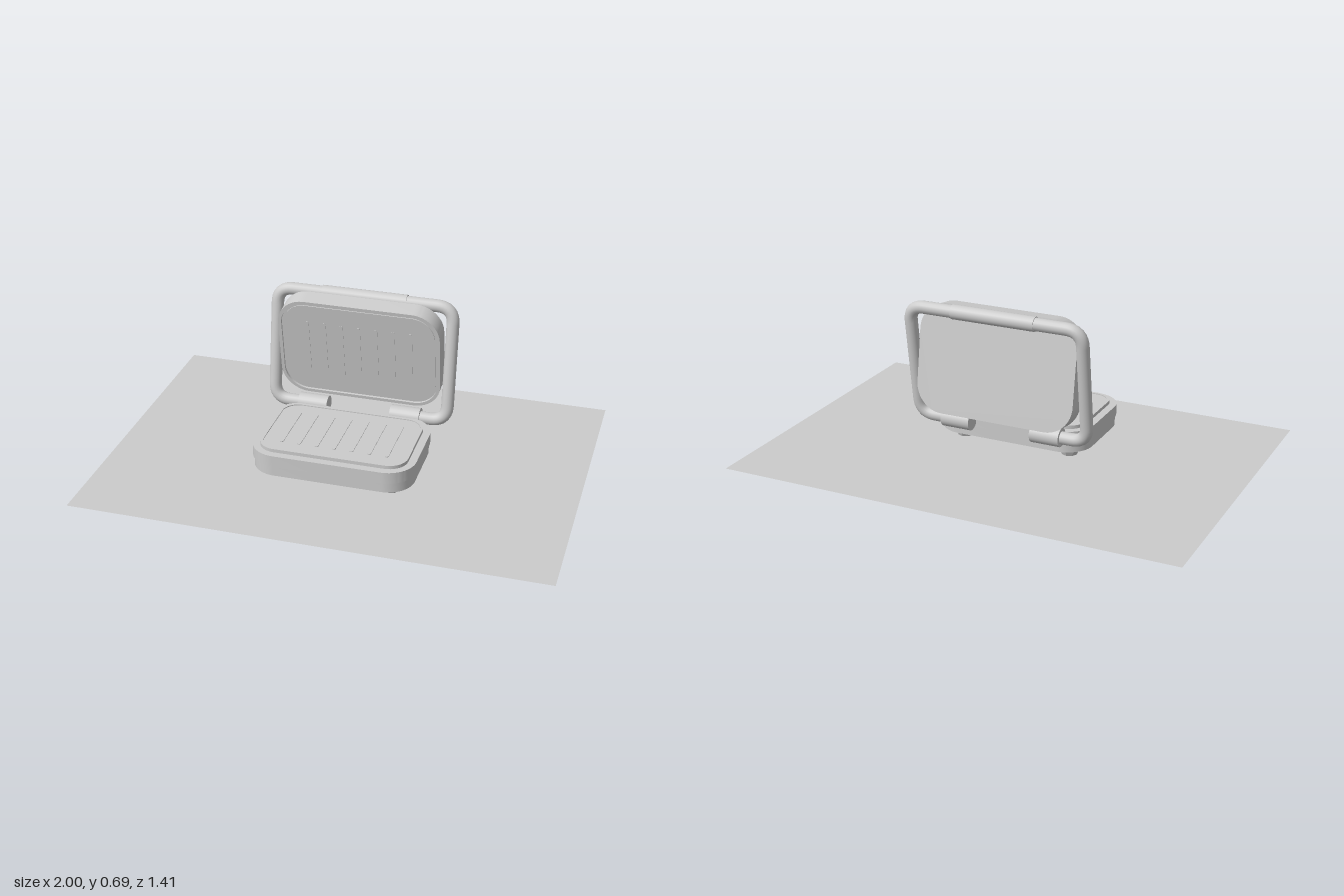
import * as THREE from 'three';
import { toCreasedNormals } from 'three/addons/utils/BufferGeometryUtils.js';

const grey = new THREE.MeshStandardMaterial({ color: 0xcccccc });
const ribXs = [-0.225, -0.15, -0.075, 0, 0.075, 0.15, 0.225];

function add(parent, name, geometry, x = 0, y = 0, z = 0, material = grey) {
  const mesh = new THREE.Mesh(geometry, material);
  mesh.name = name;
  mesh.position.set(x, y, z);
  parent.add(mesh);
  return mesh;
}

// Rounded rectangle centred on the origin
function outline(w, h, r, T = THREE.Shape) {
  const s = new T(), x = w / 2, y = h / 2;
  s.moveTo(-x + r, -y);
  s.lineTo(x - r, -y).absarc(x - r, -y + r, r, -Math.PI / 2, 0);
  s.lineTo(x, y - r).absarc(x - r, y - r, r, 0, Math.PI / 2);
  s.lineTo(-x + r, y).absarc(-x + r, y - r, r, Math.PI / 2, Math.PI);
  s.lineTo(-x, -y + r).absarc(-x + r, -y + r, r, Math.PI, Math.PI * 1.5);
  return s;
}

// Rounded slab from z = 0 to z = depth; a rim width makes it a hollow ring
function slab(w, h, r, depth, rim = 0) {
  const s = outline(w, h, r);
  if (rim) s.holes.push(outline(w - 2 * rim, h - 2 * rim, r - rim, THREE.Path));
  const g = new THREE.ExtrudeGeometry(s, { depth, bevelEnabled: false, curveSegments: 10 });
  return toCreasedNormals(g, 0.6);
}

const lying = g => g.rotateX(-Math.PI / 2);

function makeBase() {
  const base = new THREE.Group();
  base.name = 'base';
  base.position.z = 0.13;
  add(base, 'lowerShell', lying(slab(0.685, 0.458, 0.115, 0.045)), 0, 0.07);
  add(base, 'upperShell', lying(slab(0.696, 0.47, 0.12, 0.05)), 0, 0.115);
  add(base, 'lowerPlate', lying(slab(0.61, 0.385, 0.07, 0.012)), 0, 0.164);
  add(base, 'lowerPlateRim', lying(slab(0.63, 0.405, 0.08, 0.015, 0.012)), 0, 0.165);
  for (const x of ribXs) {
    add(base, 'lowerRib', lying(slab(0.016, 0.262, 0.0079, 0.004)), x, 0.175);
  }
  // Tapered feet
  for (const x of [-0.245, 0.245]) for (const z of [-0.126, 0.126]) {
    const foot = new THREE.CylinderGeometry(0.054, 0.033, 0.047, 8).toNonIndexed();
    foot.computeVertexNormals();
    add(base, 'foot', foot, x, 0.0485, z);
  }
  return base;
}

function makeLid() {
  const lid = new THREE.Group();
  lid.name = 'lid';
  lid.position.set(0, 0.434, -0.162);
  lid.rotation.x = 0.155;
  add(lid, 'lidShell', slab(0.705, 0.466, 0.12, 0.072), 0, 0, -0.041);
  add(lid, 'lidLip', slab(0.705, 0.466, 0.12, 0.01, 0.014), 0, 0, 0.031);
  add(lid, 'upperPlate', slab(0.66, 0.42, 0.1, 0.005), 0, 0, 0.03);
  for (const x of ribXs) add(lid, 'upperRib', slab(0.016, 0.262, 0.0079, 0.004), x, 0, 0.0335);
  return lid;
}

function makeHandle() {
  const handle = new THREE.Group();
  handle.name = 'handle';
  handle.position.set(0, 0.155, -0.138);
  handle.rotation.x = -0.147;

  // Bent bar: hinge end, up one side, across the top and down the other side
  const V = (x, y) => new THREE.Vector3(x, y, 0);
  const w = 0.385, h = 0.505, r = 0.07;
  const path = new THREE.CurvePath();
  let last = V(-0.22, 0);
  for (const [a, c, b] of [
    [V(-w + r, 0), V(-w, 0), V(-w, r)],
    [V(-w, h - r), V(-w, h), V(-w + r, h)],
    [V(w - r, h), V(w, h), V(w, h - r)],
    [V(w, r), V(w, 0), V(w - r, 0)],
  ]) {
    path.add(new THREE.LineCurve3(last, a));
    path.add(new THREE.QuadraticBezierCurve3(a, c, b));
    last = b;
  }
  path.add(new THREE.LineCurve3(last, V(0.22, 0)));
  add(handle, 'handleBar', new THREE.TubeGeometry(path, 140, 0.027, 18));

  // Grip sleeve and hinge barrels
  const barrel = (radius, length) =>
    new THREE.CylinderGeometry(radius, radius, length, 24).rotateZ(Math.PI / 2);
  add(handle, 'grip', barrel(0.031, 0.37), 0, h);
  for (const side of [-1, 1]) add(handle, 'hingeBarrel', barrel(0.04, 0.13), side * 0.205);
  return handle;
}

export function createModel() {
  const model = new THREE.Group();
  model.name = 'sandwichPress';
  const sheet = grey.clone();
  sheet.side = THREE.DoubleSide;
  add(model, 'tabletop', lying(new THREE.PlaneGeometry(2, 1.41)), 0, 0, 0, sheet);
  model.add(makeBase(), makeLid(), makeHandle());
  return model;
}
